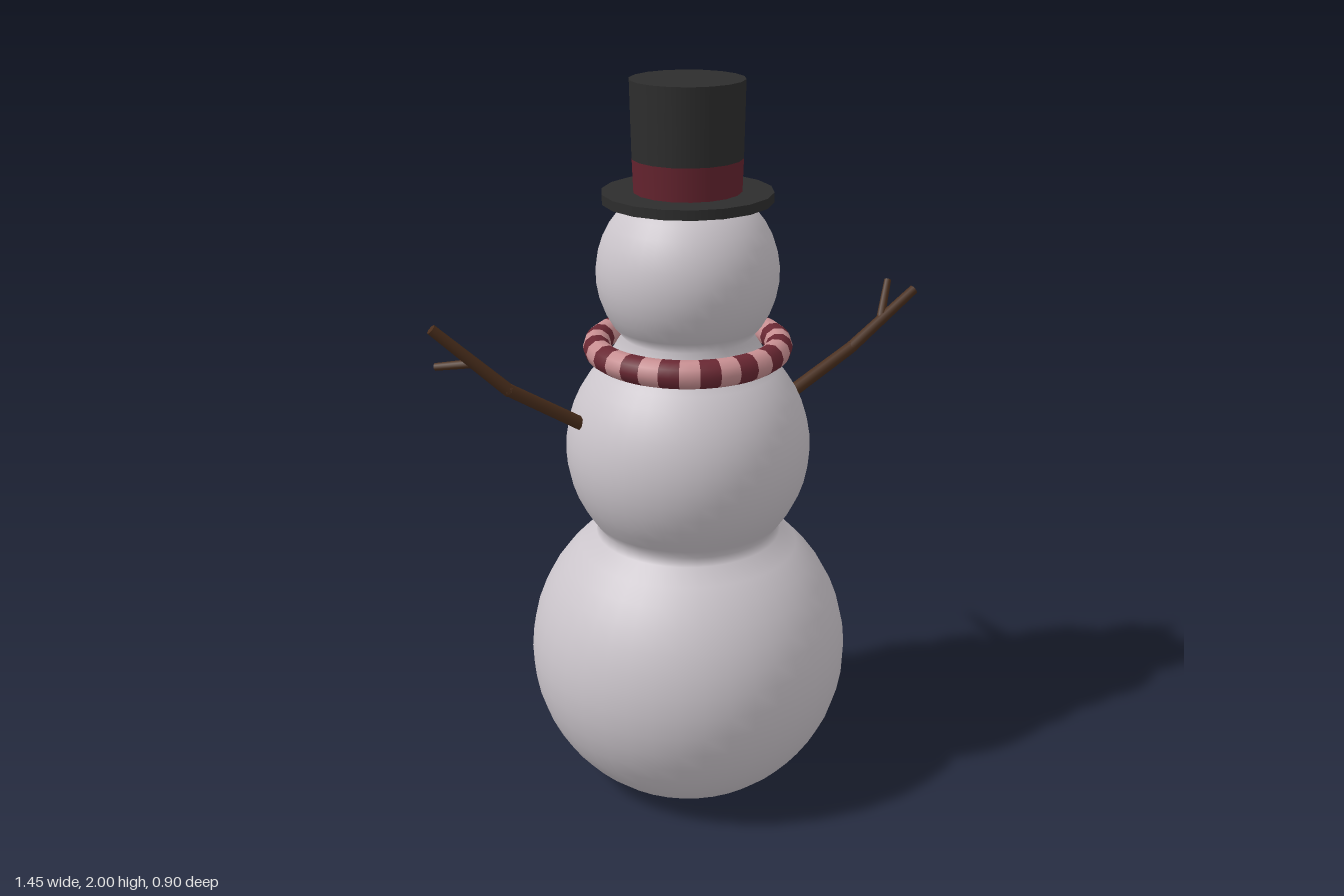
import * as THREE from 'three';

const mat = (name, color, side = THREE.FrontSide) => {
  const m = new THREE.MeshStandardMaterial({ color, side });
  m.name = name;
  return m;
};
const V = (x, y, z) => new THREE.Vector3(x, y, z);

export function createModel() {
  const snow = mat('snow', 0xcbc5cb);
  const black = mat('black', 0x2d2d2d);
  const wine = mat('wine', 0x6a2833);
  const pink = mat('pink', 0xc88f92);
  const band = mat('hat band', 0x64232e);
  const wood = mat('wood', 0x4a2e1c);
  const carrot = mat('carrot', 0xd07a28);
  const blush = mat('blush', 0xd9908f);

  const model = new THREE.Group();
  const add = (name, geo, material, parent = model) => {
    const mesh = new THREE.Mesh(geo, material);
    mesh.name = name;
    parent.add(mesh);
    return mesh;
  };
  const group = (name) => {
    const g = new THREE.Group();
    g.name = name;
    model.add(g);
    return g;
  };

  // Three snowballs turned as one profile, softly joined, with a flat foot
  const balls = { base: [0.39, 0.45], chest: [1.01, 0.335], head: [1.5, 0.243] };
  const profile = [[0, 0.015], [0.12, 0.01], [0.19, 0.002], [0.235, 0.015]].map(p => new THREE.Vector2(...p));
  const arc = ([cy, r], from, to, n) => {
    for (let i = 0; i <= n; i++) {
      const a = THREE.MathUtils.degToRad(from + (to - from) * i / n);
      profile.push(new THREE.Vector2(Math.max(0, r * Math.cos(a)), cy + r * Math.sin(a)));
    }
  };
  arc(balls.base, -52, 55, 14);
  profile.push(new THREE.Vector2(0.25, 0.782));
  arc(balls.chest, -37, 50, 12);
  arc(balls.head, -44, 90, 14);
  add('body', new THREE.LatheGeometry(profile, 40), snow);

  // Flattened pebbles lying on a snowball at offset dx, dy on the face side (-z)
  const pebble = (name, ball, dx, dy, r, material, depth = 0.35) => {
    const [cy, R] = balls[ball];
    const n = V(dx, dy, -Math.sqrt(R * R - dx * dx - dy * dy));
    const m = add(name, new THREE.SphereGeometry(r, 10, 8), material);
    m.scale.z = depth;
    m.position.set(n.x, cy + n.y, n.z);
    m.quaternion.setFromUnitVectors(V(0, 0, 1), n.normalize());
  };
  for (const s of [-1, 1]) {
    pebble('eye', 'head', s * 0.088, 0.055, 0.022, black, 0.5);
    pebble('cheek', 'head', s * 0.14, -0.043, 0.015, blush, 0.3);
  }
  for (let i = -2; i <= 2; i++) {
    pebble('mouthCoal', 'head', i * 0.035, -0.106 + 0.0045 * i * i, 0.012, black, 0.5);
  }
  pebble('button', 'chest', 0, 0.065, 0.025, black);
  pebble('button', 'chest', 0, -0.093, 0.025, black);
  pebble('button', 'base', 0, 0.14, 0.027, black);

  // Tapered rod between two points
  const rod = (name, a, b, ra, rb, material, sides, parent) => {
    const d = b.clone().sub(a);
    const m = add(name, new THREE.CylinderGeometry(rb, ra, d.length(), sides), material, parent);
    m.position.copy(a).addScaledVector(d, 0.5);
    m.quaternion.setFromUnitVectors(V(0, 1, 0), d.normalize());
  };
  rod('nose', V(0, 1.513, -0.225), V(0, 1.499, -0.43), 0.029, 0.002, carrot, 12);

  // Stick arms: upper stick, forearm and a side twig
  const arm = (name, base, elbow, tip, fork, twig) => {
    const g = group(name);
    rod('upperStick', base, elbow, 0.019, 0.0175, wood, 7, g);
    add('elbow', new THREE.SphereGeometry(0.0175, 7, 6), wood, g).position.copy(elbow);
    rod('forearm', elbow, tip, 0.0175, 0.014, wood, 7, g);
    rod('twig', fork, twig, 0.012, 0.01, wood, 6, g);
  };
  arm('leftArm', V(0.29, 1.1, 0), V(0.52, 1.21, -0.03), V(0.735, 1.35, -0.055),
    V(0.62, 1.275, -0.042), V(0.668, 1.378, -0.09));
  arm('rightArm', V(-0.29, 1.105, 0), V(-0.51, 1.25, 0.025), V(-0.695, 1.43, 0),
    V(-0.588, 1.328, 0.005), V(-0.675, 1.308, -0.065));

  // Striped scarf ring
  const scarf = group('scarf');
  const stripes = 32, step = Math.PI * 2 / stripes;
  for (let i = 0; i < stripes; i++) {
    const geo = new THREE.TorusGeometry(0.244, 0.037, 10, 2, step);
    geo.rotateX(Math.PI / 2).rotateY((i - 0.5) * step);
    add('scarfStripe', geo, i % 2 ? pink : wine, scarf).position.y = 1.298;
  }
  // Scarf end hanging over the chest, in three bands
  const tail = [V(0.05, 1.315, -0.272), V(0.075, 1.265, -0.282), V(0.1, 1.205, -0.278), V(0.12, 1.155, -0.28)];
  for (let i = 0; i < 3; i++) {
    const down = tail[i + 1].clone().sub(tail[i]);
    const m = add('scarfEnd', new THREE.BoxGeometry(0.08, down.length() + 0.008, 0.026), i === 1 ? pink : wine, scarf);
    m.position.copy(tail[i]).addScaledVector(down, 0.5);
    const up = down.normalize().negate();
    const side = up.clone().cross(V(m.position.x, 0, m.position.z)).normalize();
    m.quaternion.setFromRotationMatrix(new THREE.Matrix4().makeBasis(side, up, side.clone().cross(up)));
  }

  // Top hat: brim, band and crown
  const hat = group('hat');
  const drum = (name, rTop, rBottom, y0, y1, material) => {
    add(name, new THREE.CylinderGeometry(rTop, rBottom, y1 - y0, 18), material, hat).position.y = (y0 + y1) / 2;
  };
  drum('brim', 0.225, 0.225, 1.69, 1.716, black);
  drum('hatBand', 0.145, 0.142, 1.716, 1.802, band);
  drum('crown', 0.149, 0.145, 1.802, 2.0, black);

  model.position.x = -0.02;
  const root = new THREE.Group();
  root.name = 'snowman';
  root.add(model);
  return root;
}
